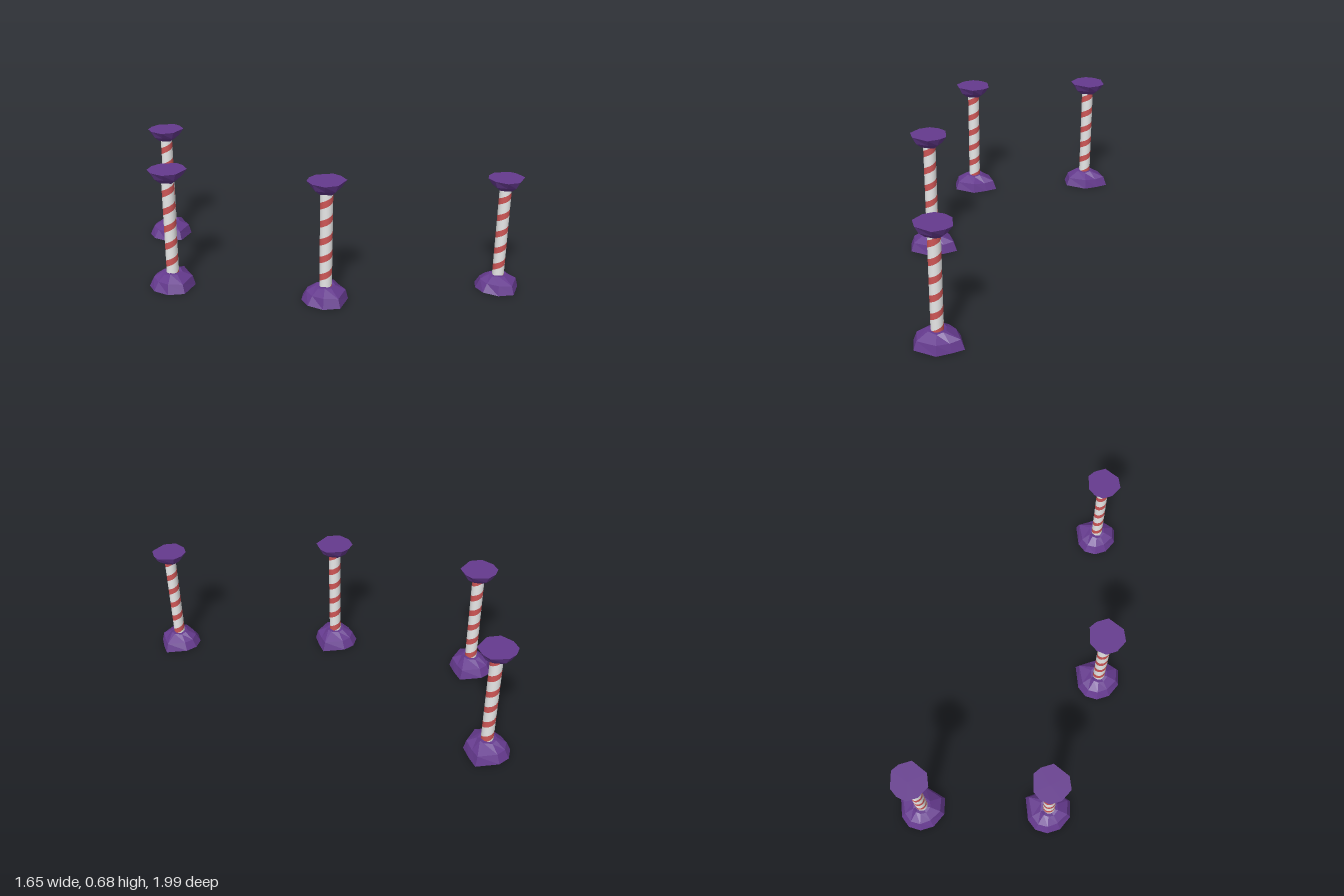
import * as THREE from 'three';

const purple = new THREE.MeshStandardMaterial({ color: 0x653a8e, flatShading: true });
purple.name = 'purple rock';
const red = new THREE.MeshStandardMaterial({ color: 0xcf5656 });
red.name = 'red stripe';
const white = new THREE.MeshStandardMaterial({ color: 0xececec });
white.name = 'white stripe';

// Closed faceted solid from rings of [x, y, z], ordered bottom to top
function facetedSolid(rings) {
  const pos = [];
  const tri = (...pts) => pts.forEach((p) => pos.push(...p));
  const n = rings[0].length;
  const centre = (r) => [0, 1, 2].map((k) => r.reduce((s, p) => s + p[k], 0) / n);
  const low = rings[0], high = rings[rings.length - 1];
  for (let i = 0; i < n; i++) {
    const j = (i + 1) % n;
    for (let r = 0; r < rings.length - 1; r++) {
      const a = rings[r], b = rings[r + 1];
      tri(a[i], b[i], b[j]);
      tri(a[i], b[j], a[j]);
    }
    tri(centre(low), low[i], low[j]);
    tri(centre(high), high[j], high[i]);
  }
  const g = new THREE.BufferGeometry();
  g.setAttribute('position', new THREE.Float32BufferAttribute(pos, 3));
  g.computeVertexNormals();
  return g;
}

// Helical ribbon round the pole, clipped to its ends
const RADIUS = 0.034, PITCH = 0.102, POLE_LOW = 0.04, POLE_HIGH = 0.65;
function ribbon(from, to) {
  const pos = [], nor = [], idx = [], seg = 16;
  const clip = (y) => THREE.MathUtils.clamp(y, POLE_LOW, POLE_HIGH);
  for (let i = 0; i <= 9 * seg; i++) {
    const turn = i / seg - 2, t = turn * Math.PI * 2;
    const y = 0.165 + turn * PITCH;
    for (const h of [from, to]) {
      pos.push(RADIUS * Math.sin(t), clip(y + h), RADIUS * Math.cos(t));
      nor.push(Math.sin(t), 0, Math.cos(t));
    }
    const k = i * 2;
    if (i < 9 * seg) idx.push(k, k + 2, k + 3, k, k + 3, k + 1);
  }
  const g = new THREE.BufferGeometry();
  g.setAttribute('position', new THREE.Float32BufferAttribute(pos, 3));
  g.setAttribute('normal', new THREE.Float32BufferAttribute(nor, 3));
  g.setIndex(idx);
  return g;
}

// Footprint of the rock, as [x, z], with one pointed corner
const outline = [
  [0.01, -0.13], [0.13, -0.08], [0.12, -0.01], [0.1, 0.07], [-0.01, 0.135],
  [-0.09, 0.09], [-0.125, 0.005], [-0.11, -0.07], [-0.06, -0.12],
];
const shoulder = [0.8, 0.86, 0.86, 0.88, 0.86, 0.84, 0.76, 0.8, 0.8];
const ringOf = (fn) => outline.map(([x, z], i) => fn(x, z, i));
// Point at radius r in the direction of an outline corner
const round = (x, z, r, y) => {
  const d = Math.hypot(x, z);
  return [(x / d) * r, y, (z / d) * r];
};

const baseGeometry = facetedSolid([
  ringOf((x, z) => [x, 0, z]),
  ringOf((x, z, i) => [x * shoulder[i], 0.048 + 0.006 * (i % 2), z * shoulder[i]]),
  ringOf((x, z, i) => round(x, z, 0.052, 0.08 + 0.004 * (i % 3))),
]);
const capGeometry = facetedSolid([
  ringOf((x, z, i) => round(x, z, 0.046, 0.612 + 0.004 * (i % 2))),
  ringOf((x, z, i) => round(x, z, 0.078, 0.638 + 0.005 * (i % 2))),
  ringOf((x, z, i) => round(x, z, 0.1 + 0.005 * (i % 2), 0.68)),
]);
const redGeometry = ribbon(-0.019, 0.019);
const whiteGeometry = ribbon(0.019, PITCH - 0.019);

function part(name, geometry, material) {
  const mesh = new THREE.Mesh(geometry, material);
  mesh.name = name;
  return mesh;
}

function stripedPillar() {
  const g = new THREE.Group();
  g.name = 'stripedPillar';
  g.add(
    part('rockBase', baseGeometry, purple),
    part('poleRedStripe', redGeometry, red),
    part('poleWhiteStripe', whiteGeometry, white),
    part('rockCap', capGeometry, purple),
  );
  return g;
}

export function createModel() {
  const model = new THREE.Group();
  model.name = 'stripedPillars';
  // x, z, scale of each pillar
  const places = [
    [-0.7, -0.245, 1], [-0.345, -0.87, 1], [-0.14, 0.4, 1], [0.7, 0.868, 0.94],
  ];
  for (const [x, z, s] of places) {
    const p = stripedPillar();
    p.position.set(x, 0, z);
    p.scale.setScalar(s);
    model.add(p);
  }
  return model;
}
